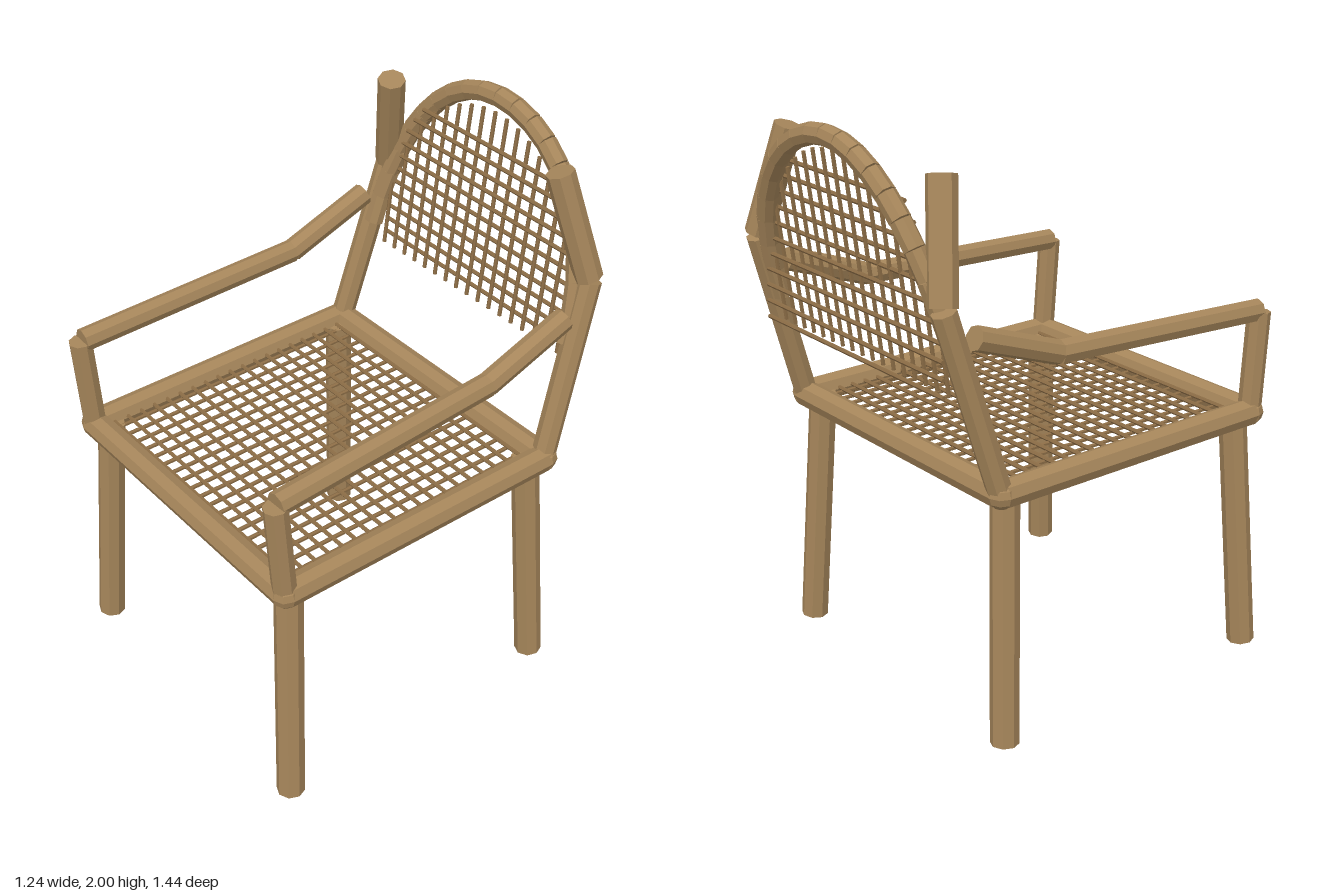
import * as THREE from 'three';

const wood = new THREE.MeshStandardMaterial({ color: 0xa5855a, flatShading: true });
wood.name = 'rattan pole';
const cane = new THREE.MeshStandardMaterial({ color: 0x8c6d46, flatShading: true });
cane.name = 'woven cane';

const V = (x, y, z) => new THREE.Vector3(x, y, z);

// Straight pole between two points
function pole(parent, name, a, b, radius, material = wood, sides = 8) {
  const dir = b.clone().sub(a);
  const mesh = new THREE.Mesh(new THREE.CylinderGeometry(radius, radius, dir.length(), sides), material);
  mesh.position.copy(a).add(b).multiplyScalar(0.5);
  mesh.quaternion.setFromUnitVectors(V(0, 1, 0), dir.normalize());
  mesh.name = name;
  parent.add(mesh);
}

function group(parent, name) {
  const g = new THREE.Group();
  g.name = name;
  parent.add(g);
  return g;
}

export function createModel() {
  const chair = new THREE.Group();
  chair.name = 'armchair';
  const railY = 0.895, frontZ = 0.66, backZ = -0.445, sideX = 0.56;

  // Seat frame
  const frame = group(chair, 'seatFrame');
  pole(frame, 'frontRail', V(-sideX, railY, frontZ), V(sideX, railY, frontZ), 0.048);
  pole(frame, 'backRail', V(-sideX, railY, backZ), V(sideX, railY, backZ), 0.048);

  for (const s of [-1, 1]) {
    const side = group(chair, s > 0 ? 'leftSide' : 'rightSide');
    pole(side, 'sideRail', V(s * sideX, railY, frontZ), V(s * sideX, railY, backZ), 0.048);
    for (const z of [frontZ, backZ]) {
      const joint = new THREE.Mesh(new THREE.SphereGeometry(0.048, 8, 6), wood);
      joint.name = 'cornerJoint';
      joint.position.set(s * sideX, railY, z);
      side.add(joint);
    }

    // Splayed legs
    pole(side, 'frontLeg', V(s * 0.57, 0.003, 0.665), V(s * 0.518, 0.9, 0.617), 0.049);
    pole(side, 'backLeg', V(s * 0.57, 0.003, -0.44), V(s * 0.518, 0.9, -0.398), 0.049);

    // Armrest
    pole(side, 'armPost', V(s * 0.557, railY, 0.66), V(s * 0.555, 1.257, 0.685), 0.041);
    pole(side, 'armrest', V(s * 0.55, 1.26, 0.68), V(s * 0.525, 1.298, -0.19), 0.041);
    pole(side, 'armrestRear', V(s * 0.525, 1.298, -0.19), V(s * 0.525, 1.417, -0.52), 0.041);

    // Back posts, the upper part leaning inwards
    pole(side, 'backPost', V(s * 0.555, railY, backZ), V(s * 0.52, 1.52, -0.63), 0.042);
    pole(side, 'upperPost', V(s * 0.515, 1.53, -0.63), V(s * 0.418, 1.905, -0.555), 0.049);
  }

  // Arched top of the back, in short straight lengths
  const arch = group(chair, 'backArch');
  const archPoint = (t) => {
    const s = Math.max(0, Math.sin(t));
    return V(0.505 * Math.cos(t), 1.3 + 0.663 * s, -0.555 - 0.125 * (1 - Math.pow(1 - s, 1.6)));
  };
  const segments = 20;
  for (let i = 0; i < segments; i++) {
    pole(arch, 'archSegment', archPoint((i / segments) * Math.PI),
      archPoint(((i + 1) / segments) * Math.PI), 0.036);
  }

  // Back weave, trimmed to the arch
  const backWeave = group(chair, 'backWeave');
  const r = 0.0075;
  for (let i = -8; i <= 8; i++) {
    const x = i * 0.0575;
    const top = 1.3 + 0.615 * Math.sqrt(1 - (x / 0.5) ** 2);
    const topZ = -0.57 - 0.09 * (top - 1.225) / 0.69;
    pole(backWeave, 'backUprightStrand', V(x, 1.225, -0.57), V(x, top, topZ), r, cane, 6);
  }
  for (let i = 0; i <= 10; i++) {
    const y = 1.237 + i * 0.0575;
    const half = 0.495 * Math.sqrt(1 - (Math.max(0, y - 1.3) / 0.663) ** 2);
    pole(backWeave, 'backCrossStrand', V(-half, y, -0.615), V(half, y, -0.615), r, cane, 6);
  }

  // Seat weave
  const seatWeave = group(chair, 'seatWeave');
  for (let i = -9; i <= 9; i++) {
    const x = i * 0.0547;
    pole(seatWeave, 'seatLengthStrand', V(x, 0.89, backZ), V(x, 0.89, frontZ), r, cane, 6);
  }
  for (let i = -7; i <= 11; i++) {
    const z = i * 0.055;
    pole(seatWeave, 'seatCrossStrand', V(-sideX, 0.9, z), V(sideX, 0.9, z), r, cane, 6);
  }

  return chair;
}
